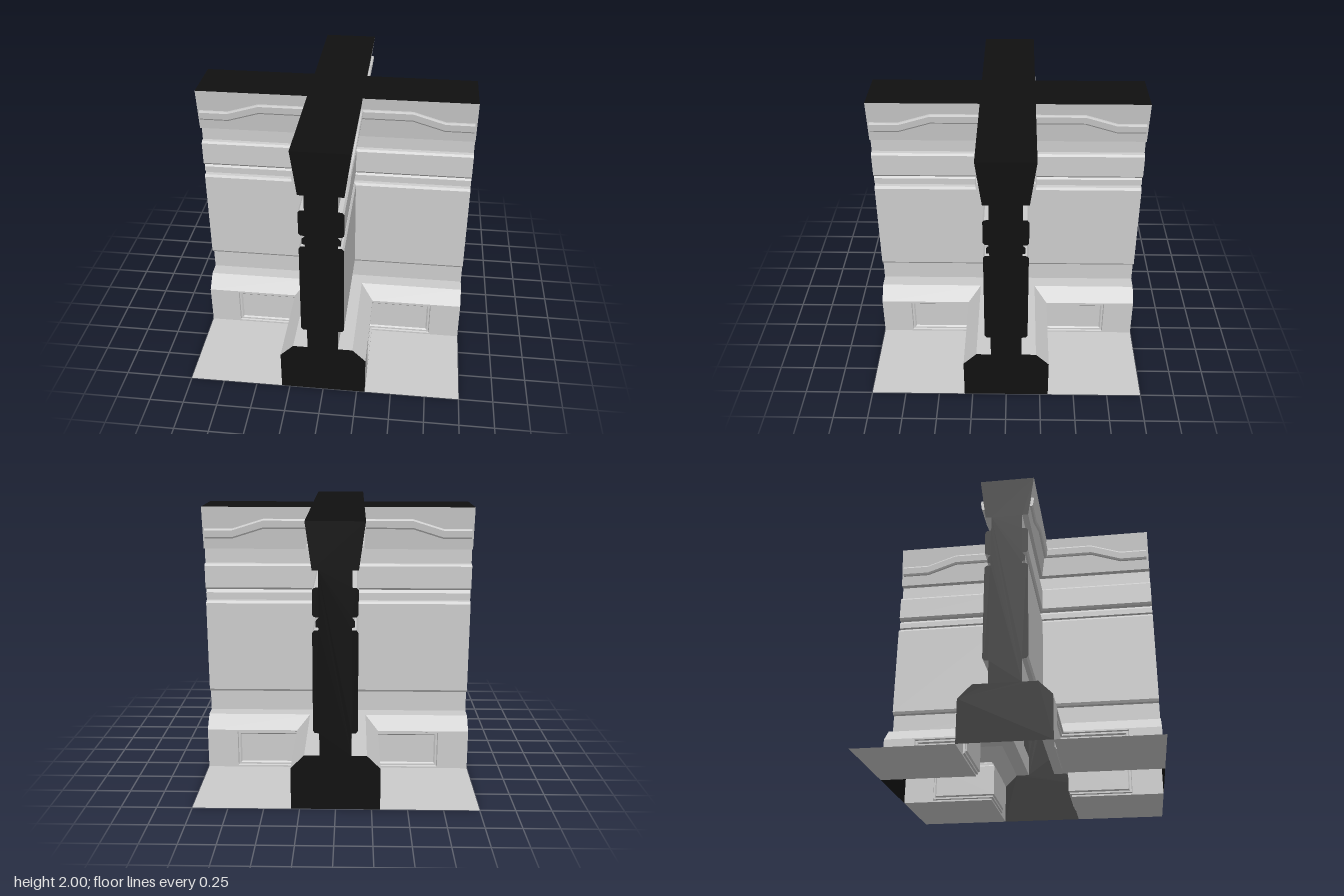
import * as THREE from 'three';

const grey = new THREE.MeshStandardMaterial({ color: 0xcccccc, flatShading: true, side: THREE.DoubleSide });
const black = new THREE.MeshStandardMaterial({ color: 0x101010, flatShading: true, side: THREE.DoubleSide });

// Wall cross-section as [half thickness, height]
const BASE = 0.31, BASE_TOP = 0.305;
const profile = [
  [BASE, BASE_TOP], [0.215, 0.4], [0.11, 0.4],
  [0.11, 0.563], [0.14, 0.565], [0.152, 0.583],
  [0.152, 1.268], [0.14, 1.285], [0.11, 1.287],
  [0.11, 1.303], [0.13, 1.307], [0.13, 1.348], [0.115, 1.365], [0.11, 1.372],
  [0.14, 1.375], [0.152, 1.39], [0.152, 1.555], [0.14, 1.57], [0.11, 1.572],
  [0.11, 1.685], [0.152, 1.685], [0.195, 2],
];
const corniceAt = (y) => 0.152 + (0.043 * (y - 1.685)) / 0.315;

// Collects quads; mirrored copies flip x and the corner order
function quadMesh(name, addQuads) {
  const pos = [];
  for (const s of [1, -1]) {
    addQuads((...corners) => {
      const c = s > 0 ? corners : [...corners].reverse();
      for (const k of [0, 1, 2, 0, 2, 3]) pos.push(s * c[k][0], c[k][1], c[k][2]);
    });
  }
  const geo = new THREE.BufferGeometry();
  geo.setAttribute('position', new THREE.Float32BufferAttribute(pos, 3));
  geo.computeVertexNormals();
  const mesh = new THREE.Mesh(geo, grey);
  mesh.name = name;
  return mesh;
}

// Moulded wall face, mitred into the inner corner at x = z
function wallFace() {
  return quadMesh('wallFace', (quad) => {
    for (let i = 0; i < profile.length - 1; i++) {
      const [a, ya] = profile[i], [b, yb] = profile[i + 1];
      quad([a, ya, a], [1, ya, a], [1, yb, b], [b, yb, b]);
    }
  });
}

// Plinth with a stepped, recessed panel that wraps round the inner corner
function plinth() {
  // Each step: [far x, bottom, top, face depth]
  const steps = [
    [0.77, 0.013, 0.293, BASE], [0.765, 0.018, 0.288, 0.298], [0.752, 0.031, 0.275, 0.298],
    [0.742, 0.041, 0.265, 0.288],
  ];
  return quadMesh('plinthPanel', (quad) => {
    const [xe, y0, y1, d] = steps[0];
    quad([d, 0, d], [1, 0, d], [1, y0, d], [d, y0, d]);
    quad([d, y1, d], [1, y1, d], [1, BASE_TOP, d], [d, BASE_TOP, d]);
    quad([xe, y0, d], [1, y0, d], [1, y1, d], [xe, y1, d]);
    const outline = ([x, lo, hi, z]) => [[z, lo, z], [x, lo, z], [x, hi, z], [z, hi, z]];
    for (let i = 0; i < steps.length - 1; i++) {
      const a = outline(steps[i]), b = outline(steps[i + 1]);
      for (let k = 0; k < 3; k++) quad(a[k], a[k + 1], b[k + 1], b[k]);
    }
    quad(...outline(steps[steps.length - 1]));
  });
}

// Raised cornice trim that steps down away from the corner
function corniceTrim() {
  const path = [[0, 1.838], [0.55, 1.838], [0.78, 1.765], [0.985, 1.765]];
  // Trim section as [height above its lower edge, projection]
  const section = [[0, -0.005], [0, 0.014], [0.012, 0.021], [0.062, 0.021], [0.074, 0.014], [0.074, -0.005]];
  return quadMesh('corniceTrim', (quad) => {
    const rings = path.map(([x, y], i) => section.map(([h, out]) => {
      const z = corniceAt(y + h) + out;
      return [i === 0 ? z : x, y + h, z];
    }));
    for (let i = 0; i < rings.length - 1; i++) {
      for (let k = 0; k < section.length - 1; k++) {
        quad(rings[i][k], rings[i + 1][k], rings[i + 1][k + 1], rings[i][k + 1]);
      }
    }
    const e = rings[rings.length - 1];
    quad(e[0], e[5], e[4], e[1]);
    quad(e[1], e[4], e[3], e[2]);
  });
}

// Dark section closing the end of one wall arm
function endCap() {
  const half = [[BASE, 0], ...profile];
  const outline = [...half, ...half.map(([d, y]) => [-d, y]).reverse()];
  const shape = new THREE.Shape(outline.map(([x, y]) => new THREE.Vector2(x, y)));
  const mesh = new THREE.Mesh(new THREE.ShapeGeometry(shape), black);
  mesh.position.z = 1;
  mesh.name = 'endCap';
  return mesh;
}

// Flat piece lying in the horizontal plane, facing up
function flat(name, x0, x1, z0, z1, y, material) {
  const geo = new THREE.PlaneGeometry(x1 - x0, z1 - z0).rotateX(-Math.PI / 2);
  const mesh = new THREE.Mesh(geo, material);
  mesh.position.set((x0 + x1) / 2, y, (z0 + z1) / 2);
  mesh.name = name;
  return mesh;
}

export function createModel() {
  const model = new THREE.Group();
  model.name = 'wallCrossing';
  const top = profile[profile.length - 1][0];

  for (let i = 0; i < 4; i++) {
    const side = new THREE.Group();
    side.name = 'wallSide' + (i + 1);
    side.add(wallFace(), plinth(), corniceTrim(), endCap());
    side.add(flat('floor', BASE, 1, BASE, 1, 0, grey));
    side.add(flat('armTop', -top, top, top, 1, 2, black));
    side.rotation.y = (i * Math.PI) / 2;
    model.add(side);
  }
  model.add(flat('centreTop', -top, top, -top, top, 2, black));
  return model;
}
